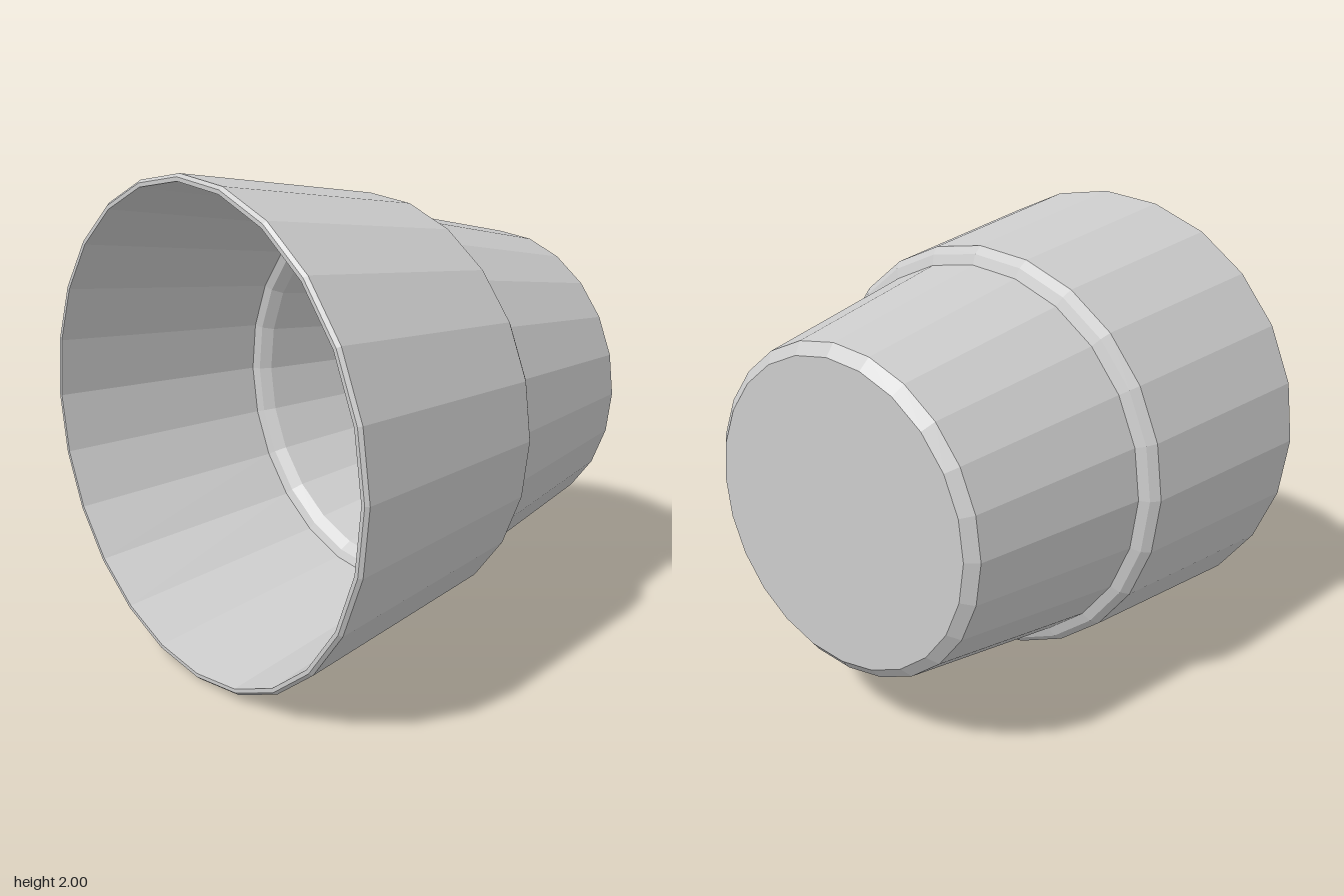
import * as THREE from 'three';

const SIDES = 24;

// Spins [radius, z] points around the front-back axis
function spin(name, profile, material) {
  const points = profile.map(([r, z]) => new THREE.Vector2(r, z));
  const geometry = new THREE.LatheGeometry(points, SIDES);
  geometry.rotateX(Math.PI / 2);
  const mesh = new THREE.Mesh(geometry, material);
  mesh.name = name;
  return mesh;
}

export function createModel() {
  const group = new THREE.Group();
  group.name = 'steppedCup';
  const material = new THREE.MeshStandardMaterial({ color: 0xcccccc, flatShading: true });

  // Outer wall: closed back, narrow cone, collar, wide cone, rim
  group.add(spin('outerShell', [
    [0, -0.918], [0.62, -0.918], [0.667, -0.88],
    [0.815, -0.085], [0.857, -0.07], [0.886, -0.035],
    [1, 0.905], [0.988, 0.918],
  ], material));

  // Flat lip joining the two walls
  group.add(spin('rim', [[0.988, 0.918], [0.972, 0.918]], material));

  // Inner wall: wide cone, step, narrow cone, floor with a faint centre bump
  group.add(spin('innerShell', [
    [0.972, 0.918], [0.83, -0.03], [0.795, -0.045], [0.762, -0.09],
    [0.615, -0.845], [0.572, -0.88], [0.06, -0.88], [0.04, -0.876], [0, -0.872],
  ], material));

  // Stand on the ground
  group.position.y = 1;
  const model = new THREE.Group();
  model.add(group);
  return model;
}
